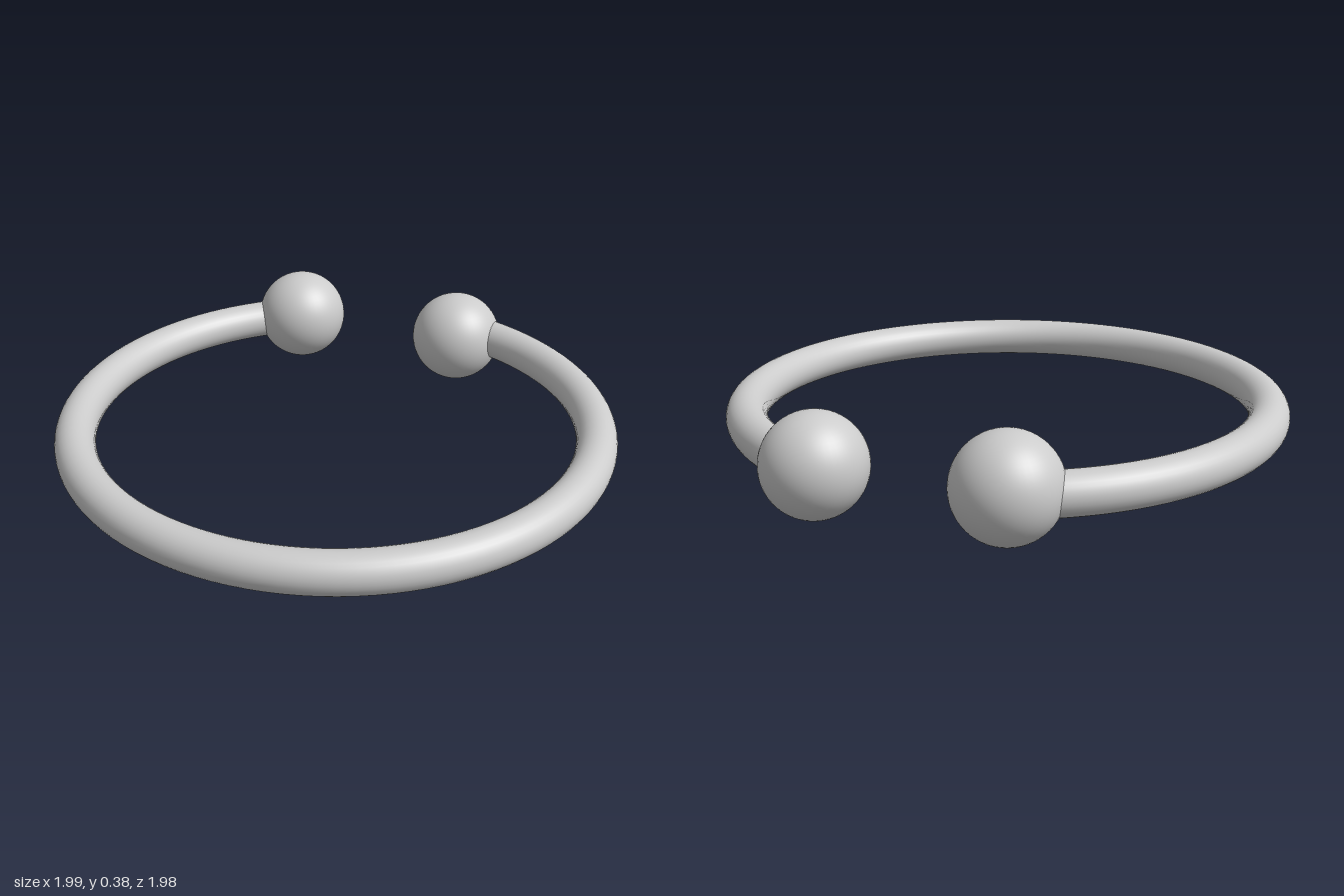
import * as THREE from 'three';

export function createModel() {
  const model = new THREE.Group();
  model.name = 'openRing';
  const material = new THREE.MeshStandardMaterial({ color: 0xcccccc });
  const add = (name, geometry, x, y, z) => {
    const mesh = new THREE.Mesh(geometry, material);
    mesh.name = name;
    mesh.position.set(x, y, z);
    model.add(mesh);
  };

  // Open hoop: the gap lies at the back left, its ends hidden in the balls
  const start = THREE.MathUtils.degToRad(-16);
  const arc = THREE.MathUtils.degToRad(314);
  const hoop = new THREE.TorusGeometry(0.917, 0.071, 32, 96, arc);
  hoop.rotateZ(start).rotateX(Math.PI / 2);
  add('hoop', hoop, -0.01, 0.186, 0);

  // Ball on each end of the hoop
  const ball = new THREE.SphereGeometry(0.175, 48, 32);
  add('sideBall', ball, 0.822, 0.175, -0.267);
  add('backBall', ball, 0.425, 0.202, -0.783);

  return model;
}
